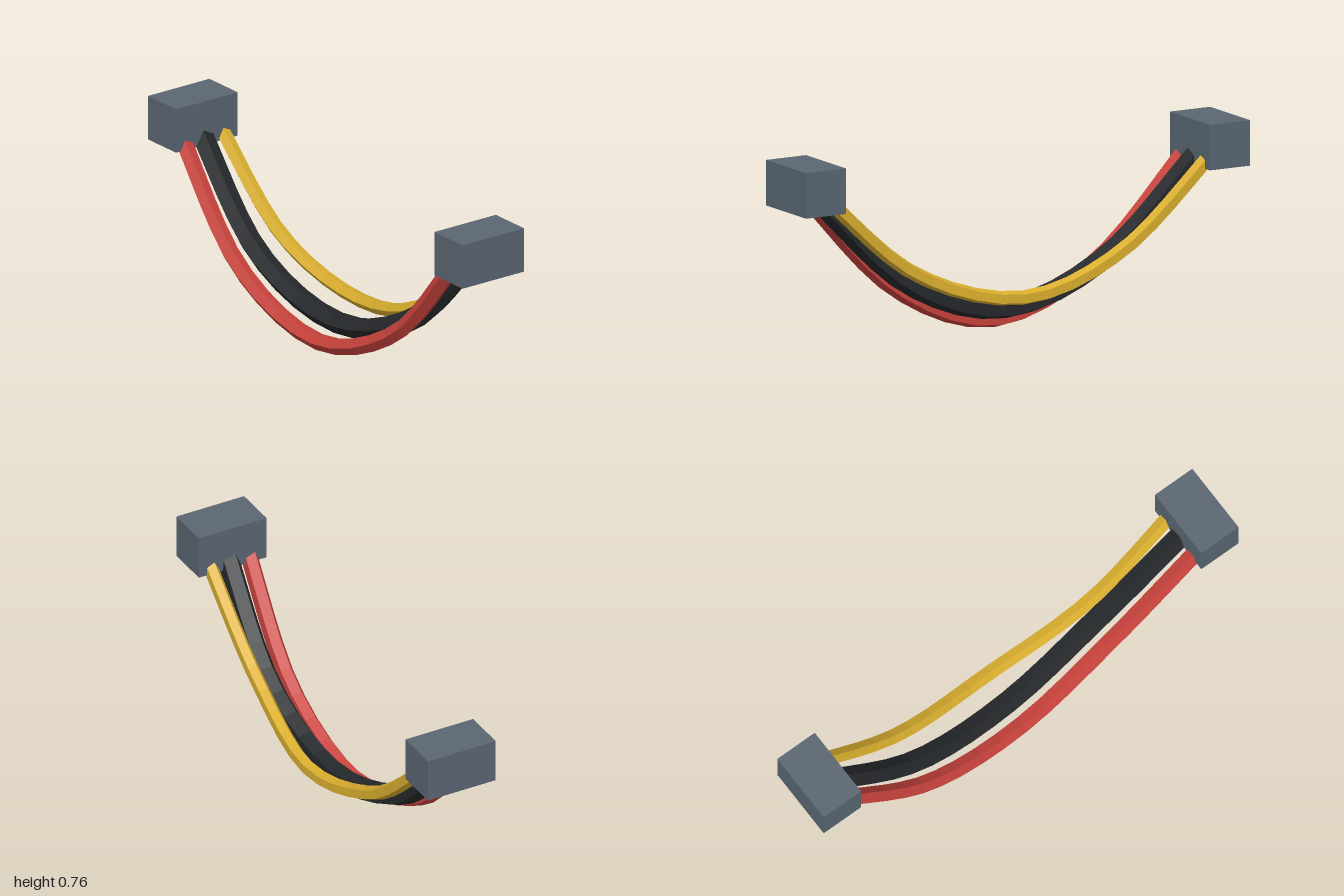
import * as THREE from 'three';

const END_X = 0.91, END_Y = 0.666;

function material(color) {
  return new THREE.MeshStandardMaterial({ color, flatShading: true });
}

// Five-sided cable sagging between the centres of the two connector blocks.
// midY: height at the middle; quarterY: height halfway out; z: [left end ... right end]
function cable(name, color, radius, midY, quarterY, z) {
  const xs = [-END_X, -0.45, 0, 0.45, END_X];
  const ys = [END_Y, quarterY, midY, quarterY, END_Y];
  const path = new THREE.CatmullRomCurve3(xs.map((x, i) => new THREE.Vector3(x, ys[i], z[i])));
  const mesh = new THREE.Mesh(new THREE.TubeGeometry(path, 20, radius, 5, false), material(color));
  mesh.name = name;
  return mesh;
}

export function createModel() {
  const group = new THREE.Group();
  group.name = 'cableBundle';

  // Connector blocks at both ends
  for (const [name, side] of [['leftConnector', 1], ['rightConnector', -1]]) {
    const block = new THREE.Mesh(new THREE.BoxGeometry(0.18, 0.18, 0.3), material(0x5a6672));
    block.name = name;
    block.position.set(side * END_X, END_Y, 0);
    group.add(block);
  }

  // Hanging cables, front to back
  group.add(
    cable('redCable', 0xc8423c, 0.035, 0.034, 0.195, [0.09, 0.118, 0.09, 0.064, 0.09]),
    cable('blackCable', 0x25282b, 0.045, 0.094, 0.235, [0, 0.028, 0, -0.028, 0]),
    cable('yellowCable', 0xd9ae2e, 0.03, 0.154, 0.28, [-0.09, -0.09, -0.121, -0.09, -0.09])
  );
  return group;
}
